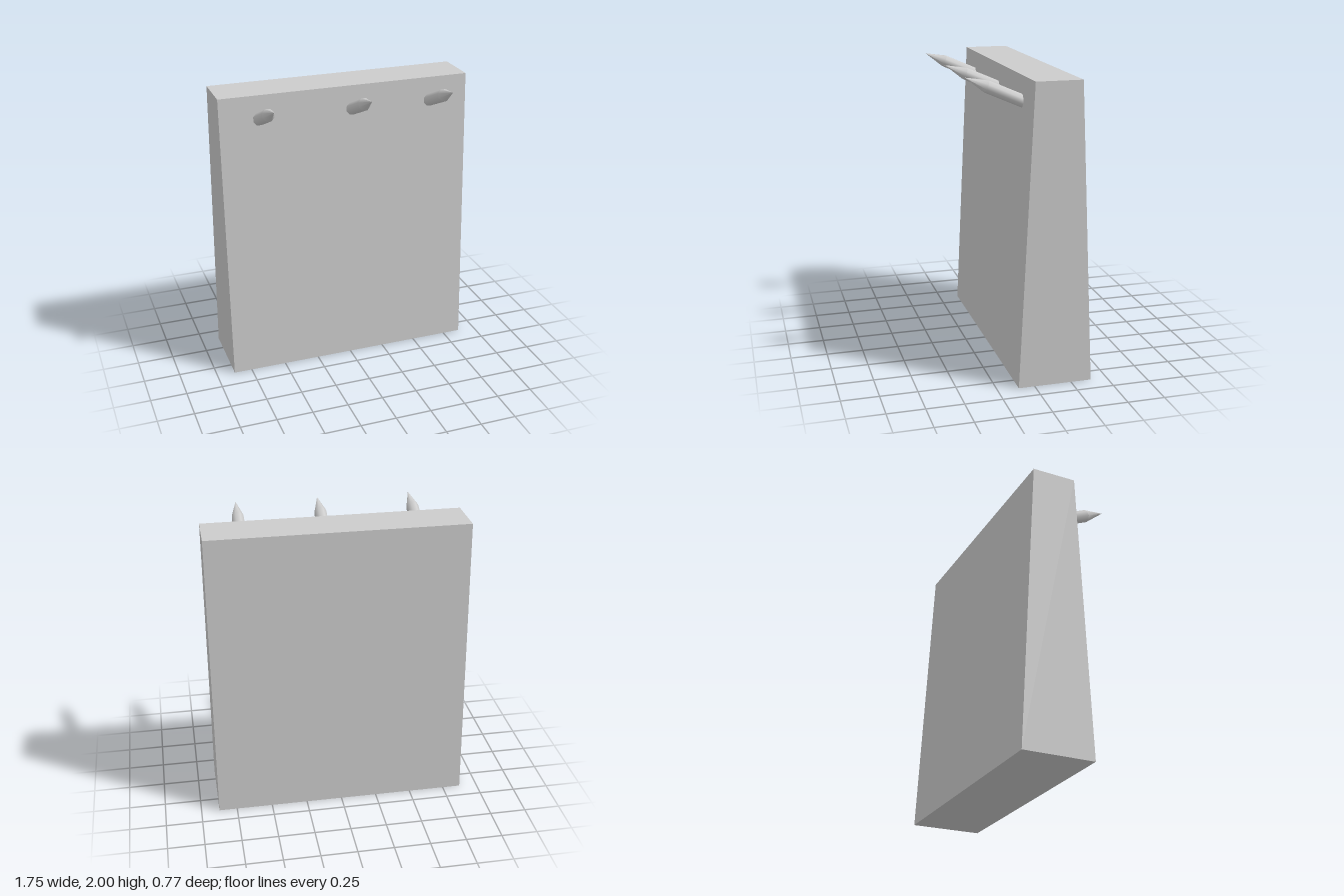
import * as THREE from 'three';

const material = new THREE.MeshStandardMaterial({ color: 0xcccccc });

// Slab whose front and back faces lean inward towards the top
function createWall() {
  const geometry = new THREE.BoxGeometry(1.75, 2, 0.496);
  const p = geometry.attributes.position;
  for (let i = 0; i < p.count; i++) {
    if (p.getY(i) > 0) p.setZ(i, p.getZ(i) * 0.617);
  }
  geometry.translate(0, 1, -0.14);
  geometry.computeVertexNormals();
  const wall = new THREE.Mesh(geometry, material);
  wall.name = 'wall';
  return wall;
}

// Pointed spike with its tip at the local origin, running down local -y
function createSpike(x) {
  const radius = 0.043, tipLength = 0.15, shaftLength = 0.3, sides = 8;
  const tipGeometry = new THREE.ConeGeometry(radius, tipLength, sides, 1, true);
  const shaftGeometry = new THREE.CylinderGeometry(radius, radius, shaftLength, sides);
  tipGeometry.rotateY(Math.PI / sides).translate(0, -tipLength / 2, 0);
  shaftGeometry.rotateY(Math.PI / sides).translate(0, -tipLength - shaftLength / 2, 0);

  const tip = new THREE.Mesh(tipGeometry, material);
  tip.name = 'spikeTip';
  const shaft = new THREE.Mesh(shaftGeometry, material);
  shaft.name = 'spikeShaft';

  const spike = new THREE.Group();
  spike.name = 'spike';
  spike.add(tip, shaft);
  spike.position.set(x, 2, 0.387);
  spike.rotation.x = THREE.MathUtils.degToRad(66.5);
  return spike;
}

export function createModel() {
  const model = new THREE.Group();
  model.name = 'spikedWall';
  model.add(createWall());
  for (const x of [-0.605, 0.04, 0.605]) model.add(createSpike(x));
  return model;
}
